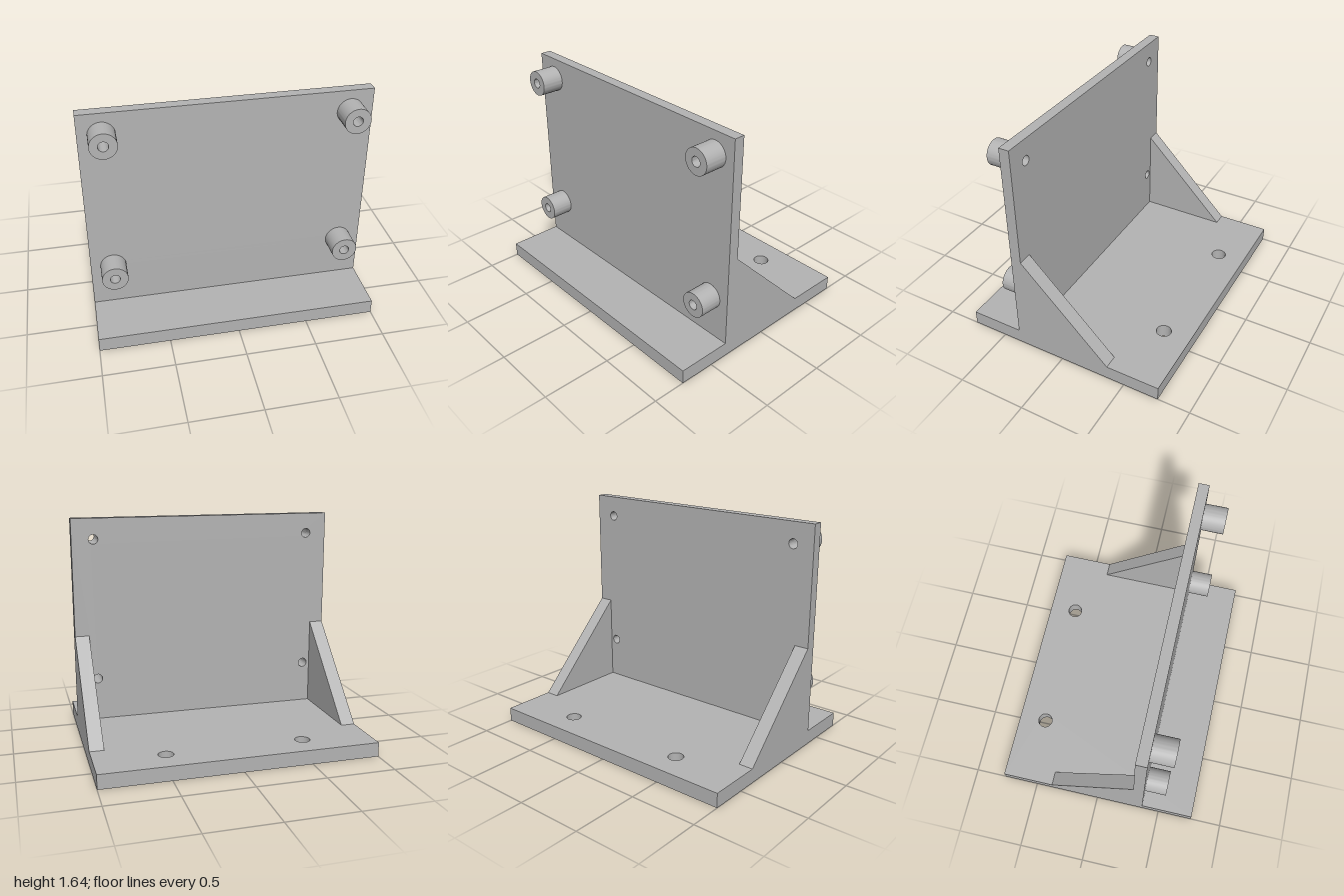
import * as THREE from 'three';
import { toCreasedNormals } from 'three/addons/utils/BufferGeometryUtils.js';

const BASE_H = 0.105, HEIGHT = 1.645, DEPTH = 1.525;
const WALL_BACK = 0.29, WALL_FRONT = 0.367;
const BOSS_X = 0.84, BOSS_YS = [0.425, 1.49];

function circle(x, y, r, Type) {
  return new Type().absarc(x, y, r, 0, Math.PI * 2, false);
}

function rectangle(x0, y0, x1, y1) {
  return new THREE.Shape([[x0, y0], [x1, y0], [x1, y1], [x0, y1]].map(p => new THREE.Vector2(...p)));
}

function extrude(shape, depth) {
  const geometry = new THREE.ExtrudeGeometry(shape, { depth, bevelEnabled: false, curveSegments: 40 });
  return toCreasedNormals(geometry, 0.6);
}

export function createModel() {
  const group = new THREE.Group();
  const grey = new THREE.MeshStandardMaterial({ color: 0xb3b3b3 });
  grey.name = 'grey';
  const add = (name, geometry) => {
    const mesh = new THREE.Mesh(geometry, grey);
    mesh.name = name;
    group.add(mesh);
    return mesh;
  };

  // Base plate with two mounting holes towards the back
  const base = rectangle(-1, -DEPTH / 2, 1, DEPTH / 2);
  for (const x of [-0.5, 0.5]) base.holes.push(circle(x, 0.555, 0.055, THREE.Path));
  add('basePlate', extrude(base, BASE_H).rotateX(-Math.PI / 2));

  // Upright plate, drilled through behind each boss
  const wall = rectangle(-1, BASE_H, 1, HEIGHT);
  for (const x of [-BOSS_X, BOSS_X])
    for (const y of BOSS_YS) wall.holes.push(circle(x, y, 0.035, THREE.Path));
  add('uprightPlate', extrude(wall, WALL_FRONT - WALL_BACK)).position.z = WALL_BACK;

  // Hollow standoff bosses on the front
  const ring = circle(0, 0, 0.092, THREE.Shape);
  ring.holes.push(circle(0, 0, 0.035, THREE.Path));
  const bossGeometry = extrude(ring, 0.16);
  for (const x of [-BOSS_X, BOSS_X])
    for (const y of BOSS_YS) add('standoffBoss', bossGeometry).position.set(x, y, WALL_FRONT);

  // Triangular side gussets behind the upright plate
  const triangle = new THREE.Shape([
    new THREE.Vector2(-0.368, BASE_H),
    new THREE.Vector2(WALL_BACK, BASE_H),
    new THREE.Vector2(WALL_BACK, 0.765),
  ]);
  const gussetGeometry = extrude(triangle, 0.105).rotateY(-Math.PI / 2);
  add('leftGusset', gussetGeometry).position.x = 1;
  add('rightGusset', gussetGeometry).position.x = -0.895;

  return group;
}
